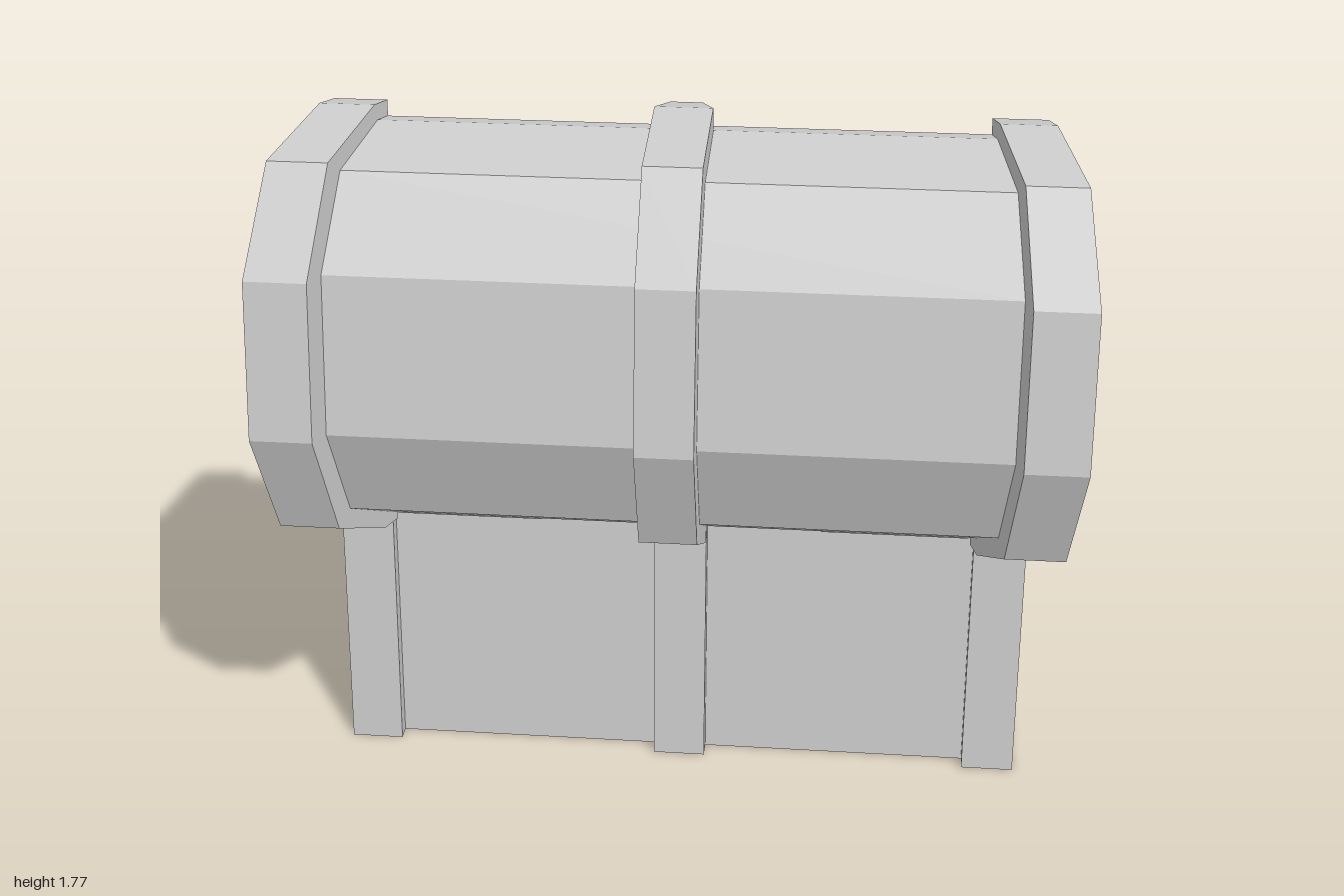
import * as THREE from 'three';

const mat = new THREE.MeshStandardMaterial({ color: 0xcccccc, flatShading: true });
const thinMat = new THREE.MeshStandardMaterial({ color: 0xcccccc, flatShading: true, side: THREE.DoubleSide });

function fromPoints(points) {
  const geo = new THREE.BufferGeometry();
  geo.setAttribute('position', new THREE.Float32BufferAttribute(points.flat(), 3));
  geo.computeVertexNormals();
  return geo;
}

// Triangles between neighbouring rings of [x, y, z]; open[i] leaves out the closing edge of strip i
function loft(rings, open = []) {
  const tris = [];
  for (let k = 0; k < rings.length - 1; k++) {
    const a = rings[k], b = rings[k + 1], n = a.length;
    for (let i = 0; i < (open[k] ? n - 1 : n); i++) {
      const j = (i + 1) % n;
      tris.push(a[i], a[j], b[j], a[i], b[j], b[i]);
    }
  }
  return tris;
}

// Flat fan closing a ring
function cap(ring, flip = false) {
  const tris = [];
  for (let i = 1; i < ring.length - 1; i++) {
    tris.push(ring[0], ring[flip ? i + 1 : i], ring[flip ? i : i + 1]);
  }
  return tris;
}

// Same triangles on the other side of x = 0
function mirror(tris) {
  const out = [];
  for (let i = 0; i < tris.length; i += 3) {
    for (const k of [0, 2, 1]) {
      const [x, y, z] = tris[i + k];
      out.push([-x, y, z]);
    }
  }
  return out;
}

// Ring from a [z, y] loop; x may be a number or a function of z
const ring = (loop, x) => loop.map(([z, y]) => [typeof x === 'function' ? x(z) : x, y, z]);
const negate = (r) => r.map(([x, y, z]) => [-x, y, z]);

// Hollow seen from inside, open along the closing edge of its loop
function cavity(loop, x) {
  const r = ring(loop, x), l = negate(r);
  return [...loft([r, l], [true]), ...cap(r, true), ...cap(l)];
}

function prism(loop, halfWidth) {
  const r = ring(loop, halfWidth), l = negate(r);
  return [...loft([l, r]), ...cap(r), ...cap(l, true)];
}

function add(parent, name, geo, material = mat) {
  const mesh = new THREE.Mesh(geo, material);
  mesh.name = name;
  parent.add(mesh);
  return mesh;
}

function addPair(parent, name, tris) {
  add(parent, name + 'Left', fromPoints(tris));
  add(parent, name + 'Right', fromPoints(mirror(tris)));
}

function polygon(PathClass, pts) {
  return new PathClass(pts.map(([x, y]) => new THREE.Vector2(x, y)));
}

function createBase() {
  const base = new THREE.Group();
  base.name = 'base';

  // Loops run from the top front, down and under, to the top back
  const shell = [[0.33, 0.7], [0.355, 0.7], [0.415, 0], [-0.745, 0], [-0.7, 0.6]];
  const outer = [[0.33, 0.7], [0.395, 0.665], [0.455, 0], [-0.785, 0], [-0.735, 0.6]];
  const frame = [[0.285, 0.575], [0.285, 0.575], [0.34, 0.04], [-0.67, 0.035], [-0.63, 0.575]];
  const panel = [[0.245, 0.55], [0.245, 0.55], [0.285, 0.065], [-0.64, 0.06], [-0.61, 0.55]];

  add(base, 'baseShell', fromPoints(loft([ring(shell, -0.76), ring(shell, 0.76)], [true])));

  // End frames with corner bands and a sunken panel
  const recess = ring(panel, 0.84);
  addPair(base, 'baseEnd', [
    ...loft([ring(shell, 0.76), ring(outer, 0.76), ring(outer, 0.895), ring(frame, 0.895), recess],
      [true, true, false, false]),
    ...cap(recess),
  ]);

  // Middle straps
  add(base, 'frontStrap', fromPoints(prism([[0.34, 0.7], [0.395, 0.665], [0.46, 0], [0.36, 0]], 0.068)));
  add(base, 'backStrap', fromPoints(prism(
    [[-0.72, 0.69], [-0.66, 0.69], [-0.7, 0], [-0.8, 0], [-0.75, 0.52], [-0.735, 0.59]], 0.065)));

  // Rim around the opening, notched at the back
  const rim = polygon(THREE.Shape, [
    [-0.93, 0.335], [-0.93, -0.735], [-0.1, -0.735], [-0.07, -0.69],
    [0.07, -0.69], [0.1, -0.735], [0.93, -0.735], [0.93, 0.335],
  ]);
  rim.holes.push(polygon(THREE.Path, [[-0.83, -0.605], [-0.83, 0.27], [0.83, 0.27], [0.83, -0.605]]));
  const rimGeo = new THREE.ExtrudeGeometry(rim, { depth: 0.11, bevelEnabled: false });
  rimGeo.rotateX(Math.PI / 2).translate(0, 0.7, 0);
  add(base, 'rim', rimGeo);

  add(base, 'baseInterior', fromPoints(cavity([[0.27, 0.7], [0.27, 0.05], [-0.605, 0.05], [-0.605, 0.7]], 0.83)));

  // Hinge barrels
  for (const side of [1, -1]) {
    const geo = new THREE.CylinderGeometry(0.027, 0.027, 0.38, 8).rotateZ(Math.PI / 2);
    add(base, side > 0 ? 'hingeLeft' : 'hingeRight', geo).position.set(side * 0.555, 0.69, 0.375);
  }
  return base;
}

// The lid is built with its rim in the plane z = 0 and its vault towards +z
function createLid() {
  const lid = new THREE.Group();
  lid.name = 'lid';
  const centre = 0.54;
  // Symmetric [depth, height] loop from half of its points
  const arch = (half, grow = 0) => [
    ...half.map(([d, h]) => [d, centre + h + grow]),
    ...half.slice().reverse().map(([d, h]) => [d, centre - h]),
  ];
  const band = [[0, 0.555], [0.077, 0.555], [0.345, 0.46], [0.477, 0.197]];
  const shell = arch([[0, 0.515], [0.06, 0.515], [0.28, 0.43], [0.4, 0.2]]);
  const frame = arch([[0.02, 0.49], [0.06, 0.485], [0.26, 0.405], [0.378, 0.17]]);
  const panel = arch([[0.035, 0.45], [0.06, 0.445], [0.25, 0.37], [0.345, 0.155]]);
  const outer = arch(band), strap = arch(band, 0.017);
  const xIn = (d) => 0.75 + 0.2 * d;
  const xOut = (d) => 0.885 + 0.24 * d;

  const right = ring(shell, xIn);
  add(lid, 'lidShell', fromPoints(loft([negate(right), right], [true])));

  // Flared end bands with a sunken panel
  const recess = ring(panel, (d) => xOut(d) - 0.05);
  addPair(lid, 'lidEnd', [
    ...loft([right, ring(outer, xIn), ring(outer, xOut), ring(frame, xOut), recess],
      [true, true, false, false]),
    ...cap(recess),
  ]);

  // Middle strap, narrowed at its ends
  const strapX = (d) => (d < 0.03 ? 0.04 : 0.072);
  const low = ring(shell, strapX), high = ring(strap, strapX);
  add(lid, 'lidStrap', fromPoints(loft([negate(low), negate(high), high, low], [true, true, true])));

  // Flat rim, following the ends of bands and strap
  const lo = centre - 0.555, lo2 = centre - 0.515, hi = centre + 0.555, hi2 = centre + 0.515;
  const half = [
    [0.04, lo], [0.04, lo2], [0.75, lo2], [0.75, lo], [0.885, lo],
    [0.885, hi], [0.75, hi], [0.75, hi2], [0.04, hi2], [0.04, hi + 0.017],
  ];
  const rim = polygon(THREE.Shape, [...half, ...half.slice().reverse().map(([x, y]) => [-x, y])]);
  const a = centre - 0.46, b = centre + 0.46;
  rim.holes.push(polygon(THREE.Path, [[-0.79, a], [-0.79, b], [0.79, b], [0.79, a]]));
  add(lid, 'lidRim', new THREE.ShapeGeometry(rim), thinMat);

  add(lid, 'lidInterior', fromPoints(cavity(arch([[0, 0.46], [0.25, 0.39], [0.355, 0.18]]), (d) => 0.79 + 0.2 * d)));

  // Swung open past upright
  lid.position.set(0, 0.665, 0.385);
  lid.rotation.x = -0.166;
  return lid;
}

export function createModel() {
  const chest = new THREE.Group();
  chest.name = 'chest';
  chest.add(createBase(), createLid());
  return chest;
}
